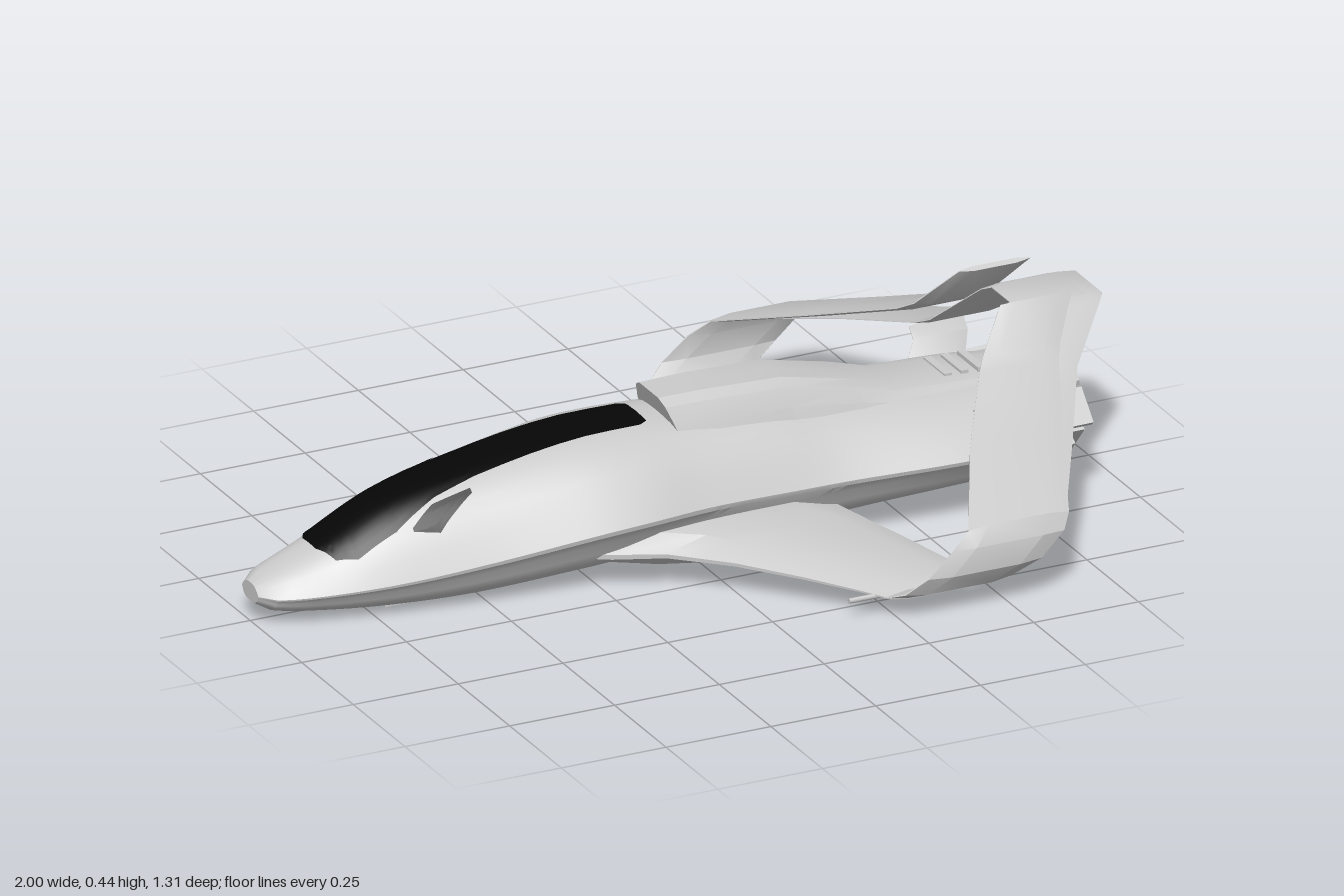
import * as THREE from 'three';
import { toCreasedNormals } from 'three/addons/utils/BufferGeometryUtils.js';

const grey = new THREE.MeshStandardMaterial({ color: 0xcccccc, side: THREE.DoubleSide });
const black = new THREE.MeshStandardMaterial({ color: 0x060606, side: THREE.DoubleSide });

// Surface through a list of cross-sections; closed sections get end caps
function loft(rings, closed = true, crease = 0.5) {
  const pos = [], idx = [], n = rings[0].length;
  rings.forEach(r => r.forEach(p => pos.push(...p)));
  for (let i = 0; i < rings.length - 1; i++) {
    for (let j = 0; j < (closed ? n : n - 1); j++) {
      const k = (j + 1) % n, a = i * n + j, b = i * n + k, c = a + n, d = b + n;
      idx.push(a, b, c, b, d, c);
    }
  }
  if (closed) {
    for (const [base, flip] of [[0, true], [(rings.length - 1) * n, false]]) {
      const r = rings[base / n], centre = pos.length / 3;
      pos.push(...[0, 1, 2].map(q => r.reduce((s, p) => s + p[q], 0) / n));
      for (let j = 0; j < n; j++) {
        const a = base + j, b = base + (j + 1) % n;
        idx.push(centre, flip ? b : a, flip ? a : b);
      }
    }
  }
  const g = new THREE.BufferGeometry();
  g.setAttribute('position', new THREE.Float32BufferAttribute(pos, 3));
  g.setIndex(idx);
  return toCreasedNormals(g, crease);
}

// Hull stations: x, half width, chine height, top, bottom
const HULL = [
  [-1, .04, .07, .09, .048], [-.97, .075, .07, .108, .032], [-.86, .115, .076, .15, .018],
  [-.7, .155, .09, .225, .007], [-.51, .192, .115, .27, .005], [-.28, .232, .15, .304, .02],
  [-.15, .238, .16, .308, .027], [0, .222, .16, .305, .022], [.2, .214, .155, .3, .012],
  [.33, .217, .155, .285, .03], [.6, .245, .16, .265, .05], [.74, .235, .16, .26, .052], [.84, .205, .16, .25, .058]];
const TAIL = HULL.at(-1)[0];

// Smooth interpolation along the stations
function station(x) {
  const i = Math.max(1, HULL.findIndex(s => s[0] >= x)) - 1;
  const b = HULL[i], c = HULL[i + 1], a = HULL[i - 1] ?? b, d = HULL[i + 2] ?? c;
  const h = c[0] - b[0], t = (x - b[0]) / h;
  return b.map((v, k) => {
    const m0 = (c[k] - a[k]) / (c[0] - a[0]) * h, m1 = (d[k] - v) / (d[0] - b[0]) * h;
    return (2 * t ** 3 - 3 * t ** 2 + 1) * v + (t ** 3 - 2 * t ** 2 + t) * m0 +
      (3 * t ** 2 - 2 * t ** 3) * c[k] + (t ** 3 - t ** 2) * m1;
  });
}

// Half profile: across (0..1) and up (-1..1) about the chine
const UPPER = [[0, 1], [.16, .99], [.3, .965], [.45, .89], [.58, .77], [.7, .62], [.86, .32], [1, 0]];
const LOWER = [[.99, -.08], [.91, -.25], [.87, -.45], [.79, -.65], [.62, -.86], [.52, -.95], [.4, -1], [0, -1]];
const HALF = [...UPPER, ...LOWER];
const PROFILE = [...HALF, ...HALF.slice(1, -1).reverse().map(([u, v]) => [-u, v])];

function hullRing(x) {
  const [, w, c, top, bot] = station(x);
  return PROFILE.map(([u, v]) => [x, c + v * (v > 0 ? top - c : c - bot), u * w]);
}

function hullTop(x, z) {
  const [, w, c, top] = station(x), u = Math.min(.999, Math.abs(z) / w);
  const i = UPPER.findIndex(p => p[0] > u), a = UPPER[i - 1], b = UPPER[i];
  return c + (top - c) * (a[1] + (b[1] - a[1]) * (u - a[0]) / (b[0] - a[0]));
}

// Thin patch lying on the upper hull; rows are [x, z from, z to]
function skinPatch(rows, lift) {
  const rings = [], steps = 6;
  for (let i = 0; i < rows.length - 1; i++) {
    for (let s = i ? 1 : 0; s <= steps; s++) {
      const [x, z0, z1] = rows[i].map((v, k) => v + (rows[i + 1][k] - v) * s / steps);
      rings.push(Array.from({ length: 17 }, (_, j) => {
        const z = z0 + (z1 - z0) * j / 16;
        return [x, hullTop(x, z) + lift, z];
      }));
    }
  }
  return loft(rings, false, 1);
}

// Aerofoil strip swept through stations [z, y, leading x, trailing x, half thickness]
function strip(stations, side = 1) {
  const st = stations.map(([z, ...r]) => [z * side, ...r]);
  return loft(st.map(([z, y, x0, x1, t], i) => {
    const p = st[Math.max(0, i - 1)], q = st[Math.min(st.length - 1, i + 1)];
    const dz = q[0] - p[0], dy = q[1] - p[1], l = Math.hypot(dz, dy);
    return [[0, -.15], [.2, -1], [.8, -1], [1, -.15], [1, .15], [.8, 1], [.2, 1], [0, .15]].map(([u, v]) =>
      [x0 + (x1 - x0) * u, y + v * t * dz / l, z - v * t * dy / l]);
  }));
}

export function createModel() {
  const model = new THREE.Group();
  const add = (name, geometry, material = grey) => {
    const m = new THREE.Mesh(geometry, material);
    m.name = name;
    model.add(m);
    return m;
  };
  const box = (name, size, at, rx = 0, rz = 0) => {
    const m = add(name, new THREE.BoxGeometry(...size));
    m.position.set(...at);
    m.rotation.set(rx, 0, rz);
  };

  // Fuselage
  const xs = Array.from({ length: 61 }, (_, i) => Math.min(TAIL, -1 + (TAIL + 1) * i / 60));
  add('fuselage', loft(xs.map(hullRing), true, 0.45));

  // Dark canopy strip and side windows
  add('canopy', skinPatch([[-.86, -.03, .03], [-.835, -.08, .08], [-.79, -.1, .1], [-.7, -.1, .1],
    [-.6, -.078, .078], [-.5, -.068, .068], [-.1, -.062, .062], [-.08, -.05, .05]], .005), black);
  for (const s of [1, -1]) {
    const row = (x, a, b) => s > 0 ? [x, a, b] : [x, -b, -a];
    add('sideWindow', skinPatch([row(-.665, .108, .114), row(-.61, .088, .132), row(-.52, .09, .1)], .005), black);
  }

  // Dorsal engine housing: x at base, x at top, half width, top height
  const hump = [[0, -.05, .092, .355], [.08, .06, .1, .356], [.25, .24, .102, .35], [.42, .41, .1, .312],
    [.5, .5, .098, .284], [.7, .7, .092, .272], [.8, .8, .075, .262]];
  add('dorsalHousing', loft(hump.map(([xb, xt, w, top]) => {
    const half = [[0, 1], [.5, 1], [.78, .9], [1, .62], [1.25, 0]];
    const mirrored = half.slice(1).reverse().map(([u, v]) => [-u, v]);
    return [...half, ...mirrored].map(([u, v]) => [xb + (xt - xb) * v, .215 + (top - .215) * v, u * w]);
  }), true, 0.4));

  for (const s of [1, -1]) {
    // Lower wing with curved leading-edge root
    add('lowerWing', strip([[.14, .085, -.36, .3, .042], [.21, .083, -.24, .32, .038], [.25, .08, -.13, .335, .033],
      [.29, .076, -.075, .35, .029], [.34, .072, -.01, .37, .026], [.45, .062, .1, .41, .02],
      [.54, .052, .185, .445, .014], [.595, .045, .235, .48, .009]], s));
    // Turned-up tip, upper return wing and winglet
    add('upperWing', strip([[.585, .045, .225, .475, .009], [.625, .062, .255, .51, .009], [.646, .098, .3, .57, .009],
      [.643, .15, .36, .625, .009], [.626, .182, .405, .645, .009], [.4, .262, .52, .74, .009],
      [.2, .334, .64, .83, .009], [.165, .355, .665, .85, .009], [.1, .44, .74, .91, .006]], s));
    // Strut from the return wing to the hull
    add('wingStrut', strip([[.15, .225, .64, .78, .006], [.18, .262, .67, .8, .006], [.22, .276, .68, .81, .006]], s));
    // Wing probes and underwing rails
    for (const [x, y, z, len] of [[.2, .045, .565, .1], [.26, .03, .388, .07]]) {
      const probe = add('wingProbe', new THREE.CylinderGeometry(.006, .006, len, 8));
      probe.rotation.z = Math.PI / 2;
      probe.position.set(x, y, z * s);
    }
    box('wingRail', [.1, .01, .015], [.26, .043, .388 * s]);
    // Exhaust plates around the tail
    box('upperExhaustPlate', [.2, .012, .09], [.82, .243, .075 * s], .25 * s);
    box('sideExhaustPlate', [.18, .012, .085], [.82, .2, .172 * s], .8 * s, .03);
    box('lowerExhaustPlate', [.15, .012, .1], [.8, .09, .155 * s], -.85 * s, .05);
    box('bellyFin', [.1, .03, .012], [.76, .05, .07 * s], 0, .1);
  }

  // Rear bridge joining both return wings above the tail
  const rearHalf = [[.63, .168, .5, .635, .005], [.4, .237, .61, .765, .006], [.215, .285, .69, .865, .006],
    [.18, .302, .71, .885, .006], [.085, .396, .785, .985, .006], [.065, .405, .8, 1, .006]];
  add('rearBridge', strip([...rearHalf.map(([z, ...r]) => [-z, ...r]), ...[...rearHalf].reverse()]));

  // Hexagonal exhaust frames, the inner one set back
  const hexagon = (k, Type) => {
    const pts = [[.12, .215], [.205, .162], [.115, .062], [-.115, .062], [-.205, .162], [-.12, .215]];
    return new Type(pts.map(([z, y]) => new THREE.Vector2(z * k, .145 + (y - .145) * k)));
  };
  for (const [outer, inner, depth] of [[1, .87, .07], [.8, .7, .04]]) {
    const shape = hexagon(outer, THREE.Shape);
    shape.holes.push(hexagon(inner, THREE.Path));
    const g = new THREE.ExtrudeGeometry(shape, { depth, bevelEnabled: false });
    g.rotateY(Math.PI / 2);
    add('exhaustFrame', g).position.x = .82;
  }

  // Exhaust grille and side thrusters
  [[.09, .13], [.115, .19], [.14, .23], [.165, .24], [.187, .17]].forEach(([y, w]) =>
    box('exhaustBar', [.045, .011, w], [.845, y, 0]));
  for (const z of [-.145, .145]) {
    const thruster = add('sideThruster', new THREE.CylinderGeometry(.016, .02, .06, 12));
    thruster.rotation.z = -Math.PI / 2;
    thruster.position.set(.85, .16, z);
  }

  // Housing vents, rear spine and belly panel
  for (const x of [.64, .68, .72]) box('housingVent', [.018, .012, .1], [x, .274, 0]);
  box('tailSpine', [.14, .014, .06], [.85, .247, 0]);
  box('bellyPanel', [.22, .012, .13], [-.6, .006, 0]);
  return model;
}
